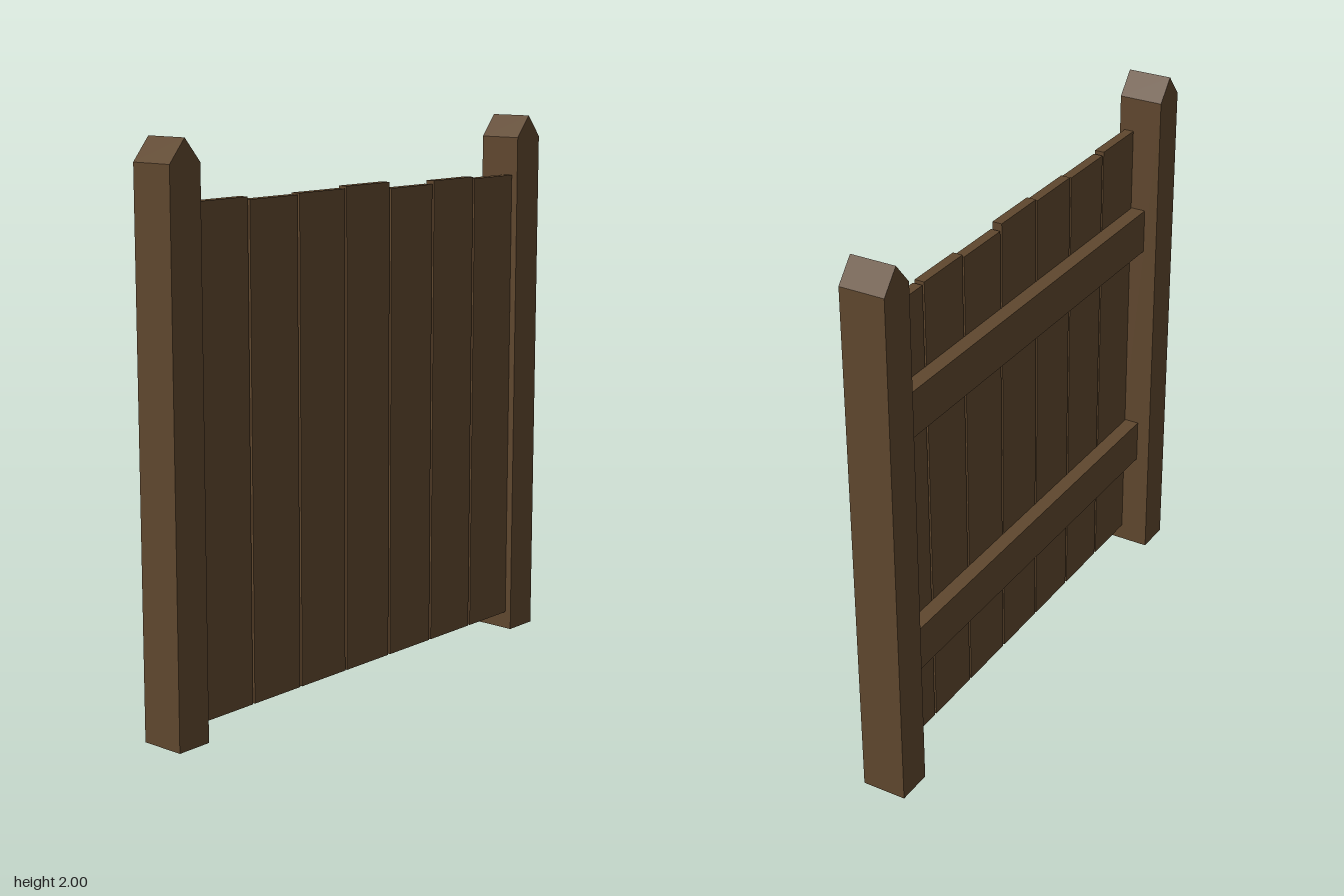
import * as THREE from 'three';

const wood = new THREE.MeshStandardMaterial({ color: 0x5f472e, side: THREE.DoubleSide });
wood.name = 'brownWood';

function box(name, w, h, d, x, y, z) {
  const mesh = new THREE.Mesh(new THREE.BoxGeometry(w, h, d), wood);
  mesh.name = name;
  mesh.position.set(x, y, z);
  return mesh;
}

// Hollow-bottomed post with a gabled top
function postGeometry(halfWidth, depth, eave, peak) {
  const outline = new THREE.Shape([
    new THREE.Vector2(-halfWidth, 0), new THREE.Vector2(halfWidth, 0),
    new THREE.Vector2(halfWidth, eave), new THREE.Vector2(0, peak),
    new THREE.Vector2(-halfWidth, eave),
  ]);
  const solid = new THREE.ExtrudeGeometry(outline, { depth, bevelEnabled: false });
  solid.translate(0, 0, -depth / 2);
  const p = solid.attributes.position;
  const kept = [];
  for (let i = 0; i < p.count; i += 3) {
    // Leave out the underside, which is open
    if (Math.max(p.getY(i), p.getY(i + 1), p.getY(i + 2)) < 0.001) continue;
    for (let k = i; k < i + 3; k++) kept.push(p.getX(k), p.getY(k), p.getZ(k));
  }
  const geometry = new THREE.BufferGeometry();
  geometry.setAttribute('position', new THREE.Float32BufferAttribute(kept, 3));
  geometry.computeVertexNormals();
  return geometry;
}

export function createModel() {
  const fence = new THREE.Group();
  fence.name = 'fencePanel';

  // Posts at both ends
  const geometry = postGeometry(0.067, 0.164, 1.92, 2);
  for (const side of [-1, 1]) {
    const post = new THREE.Mesh(geometry, wood);
    post.name = side > 0 ? 'leftPost' : 'rightPost';
    post.position.x = side * 0.9;
    fence.add(post);
  }

  // Horizontal rails behind the boards
  fence.add(box('lowerRail', 1.666, 0.167, 0.055, 0, 0.483, -0.003));
  fence.add(box('upperRail', 1.666, 0.167, 0.055, 0, 1.403, -0.003));

  // Upright boards with slightly uneven tops
  const bottom = 0.067;
  [1.795, 1.785, 1.79, 1.798, 1.775, 1.787, 1.78].forEach((top, i) => {
    const h = top - bottom;
    fence.add(box(`board${i + 1}`, 0.228, h, 0.036, (i - 3) * 0.238, bottom + h / 2, 0.0425));
  });

  return fence;
}
